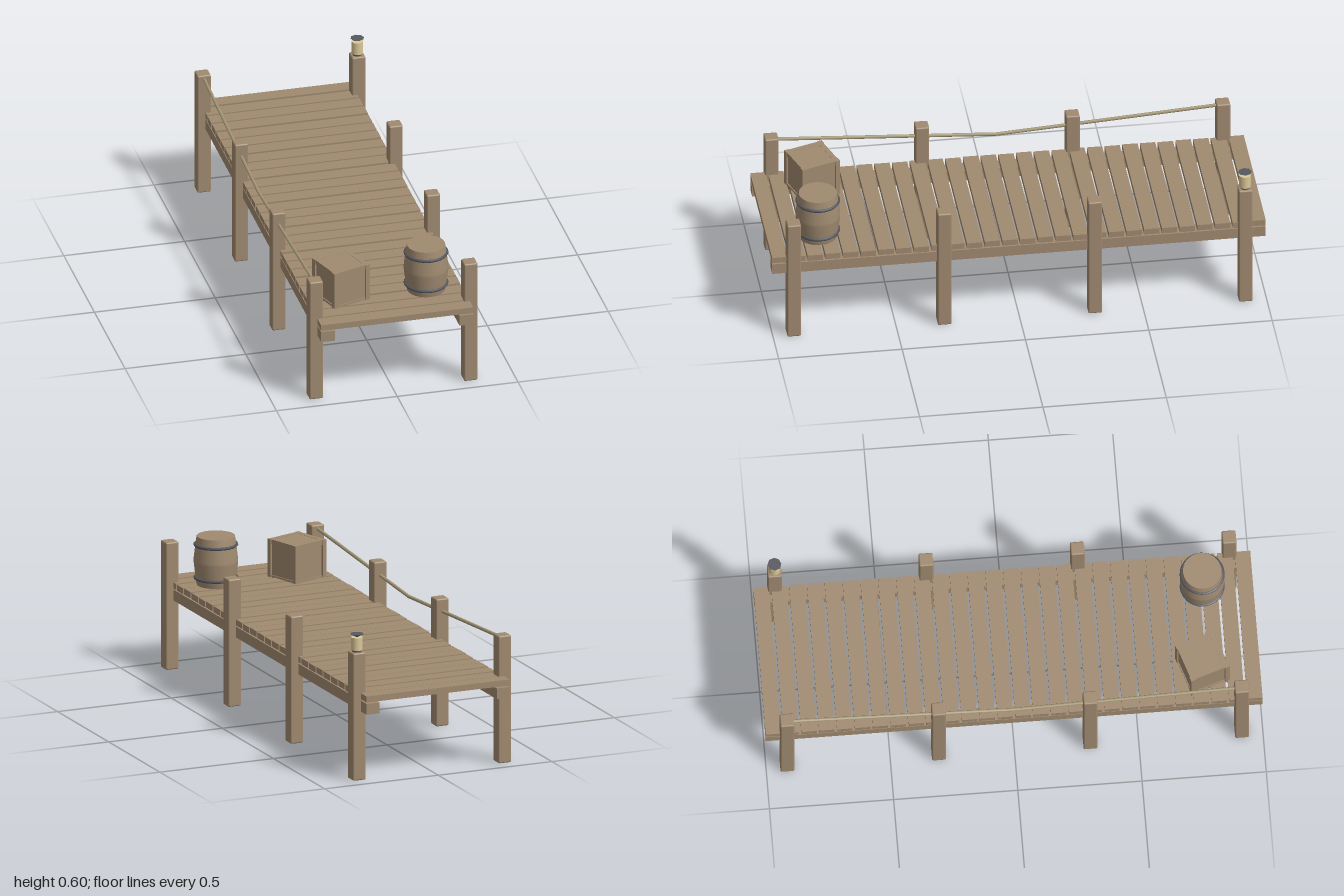
import * as THREE from 'three';
import { RoundedBoxGeometry } from 'three/addons/geometries/RoundedBoxGeometry.js';

const material = (color, extra = {}) => new THREE.MeshStandardMaterial({ color, ...extra });

export function createModel() {
  const model = new THREE.Group();
  model.name = 'dock';
  const wood = material(0xa08a70);
  const flatWood = material(0xa08a70, { side: THREE.DoubleSide });
  const metal = material(0x55585f);
  const ropeColor = material(0xa89a78);
  const glow = material(0xdcc898);

  const add = (parent, name, geometry, mat, x = 0, y = 0, z = 0) => {
    const mesh = new THREE.Mesh(geometry, mat);
    mesh.name = name;
    mesh.position.set(x, y, z);
    parent.add(mesh);
    return mesh;
  };
  const box = (w, h, d) => new THREE.BoxGeometry(w, h, d);

  // Posts and the long beams under the deck
  const postGeometry = new RoundedBoxGeometry(0.056, 0.53, 0.056, 2, 0.006);
  for (const side of [-1, 1]) {
    for (const z of [-0.915, -0.305, 0.305, 0.915]) {
      add(model, 'post', postGeometry, wood, side * 0.32, 0.265, z);
    }
    add(model, 'beam', box(0.057, 0.045, 2), wood, side * 0.2865, 0.3095, 0);
  }

  // Deck planks, laid at slightly uneven heights
  const deck = new THREE.Group();
  deck.name = 'deck';
  model.add(deck);
  const count = 28, width = 0.062, pitch = (2 - width) / (count - 1);
  for (let i = 0; i < count; i++) {
    const drop = i === count - 1 ? 0 : ((i * 2) % 3) * 0.001;
    add(deck, 'plank', box(0.63, 0.025, width), wood, 0, 0.3505 - drop, -1 + width / 2 + i * pitch);
  }

  // Rope sagging along the right-hand posts
  const ropePath = new THREE.CurvePath();
  const ropePoints = [[0.915, 0.515], [0, 0.456], [-0.915, 0.515]]
    .map(([z, y]) => new THREE.Vector3(-0.32, y, z));
  ropePath.add(new THREE.LineCurve3(ropePoints[0], ropePoints[1]));
  ropePath.add(new THREE.LineCurve3(ropePoints[1], ropePoints[2]));
  add(model, 'rope', new THREE.TubeGeometry(ropePath, 16, 0.007, 6), ropeColor);

  // Barrel with two hoops
  const barrel = new THREE.Group();
  barrel.name = 'barrel';
  barrel.position.set(0.171, 0.363, 0.795);
  model.add(barrel);
  const profile = [[0.077, 0], [0.082, 0.025], [0.084, 0.045], [0.09, 0.093],
    [0.09, 0.106], [0.084, 0.155], [0.082, 0.175], [0.077, 0.202]];
  add(barrel, 'barrelStaves', new THREE.LatheGeometry(
    profile.map(([r, y]) => new THREE.Vector2(r, y)), 24), wood);
  add(barrel, 'barrelLid', new THREE.CircleGeometry(0.077, 24), flatWood, 0, 0.202, 0).rotation.x = -Math.PI / 2;
  add(barrel, 'barrelBottom', new THREE.CircleGeometry(0.077, 24), flatWood, 0, 0, 0).rotation.x = Math.PI / 2;
  for (const y of [0.03, 0.167]) {
    add(barrel, 'barrelHoop', new THREE.TorusGeometry(0.084, 0.0065, 6, 24), metal, 0, y, 0).rotation.x = Math.PI / 2;
  }

  // Crate: inset panels, corner posts and rails
  const crate = new THREE.Group();
  crate.name = 'crate';
  crate.position.set(-0.174, 0.434, 0.769);
  crate.rotation.y = 0.32;
  model.add(crate);
  const size = 0.168, bar = 0.02;
  add(crate, 'cratePanels', box(0.154, 0.166, 0.154), wood);
  for (let i = 0; i < 4; i++) {
    const face = new THREE.Group();
    face.name = 'crateFrame';
    face.rotation.y = i * Math.PI / 2;
    crate.add(face);
    const edge = (size - bar) / 2;
    add(face, 'cratePost', box(bar, size, bar), wood, edge, 0, edge);
    for (const y of [-edge, edge]) {
      add(face, 'crateRail', box(size - 2 * bar, bar, bar), wood, 0, y, edge - 0.003);
    }
  }

  // Lantern on the back left post
  const lantern = new THREE.Group();
  lantern.name = 'lantern';
  lantern.position.set(0.32, 0.53, -0.915);
  model.add(lantern);
  add(lantern, 'lanternBase', new THREE.CylinderGeometry(0.019, 0.019, 0.008, 12), metal, 0, 0.004, 0);
  add(lantern, 'lanternGlass', new THREE.CylinderGeometry(0.024, 0.024, 0.053, 12), glow, 0, 0.0345, 0);
  add(lantern, 'lanternCap', new THREE.ConeGeometry(0.028, 0.015, 8), metal, 0, 0.067, 0).rotation.x = Math.PI;

  return model;
}
